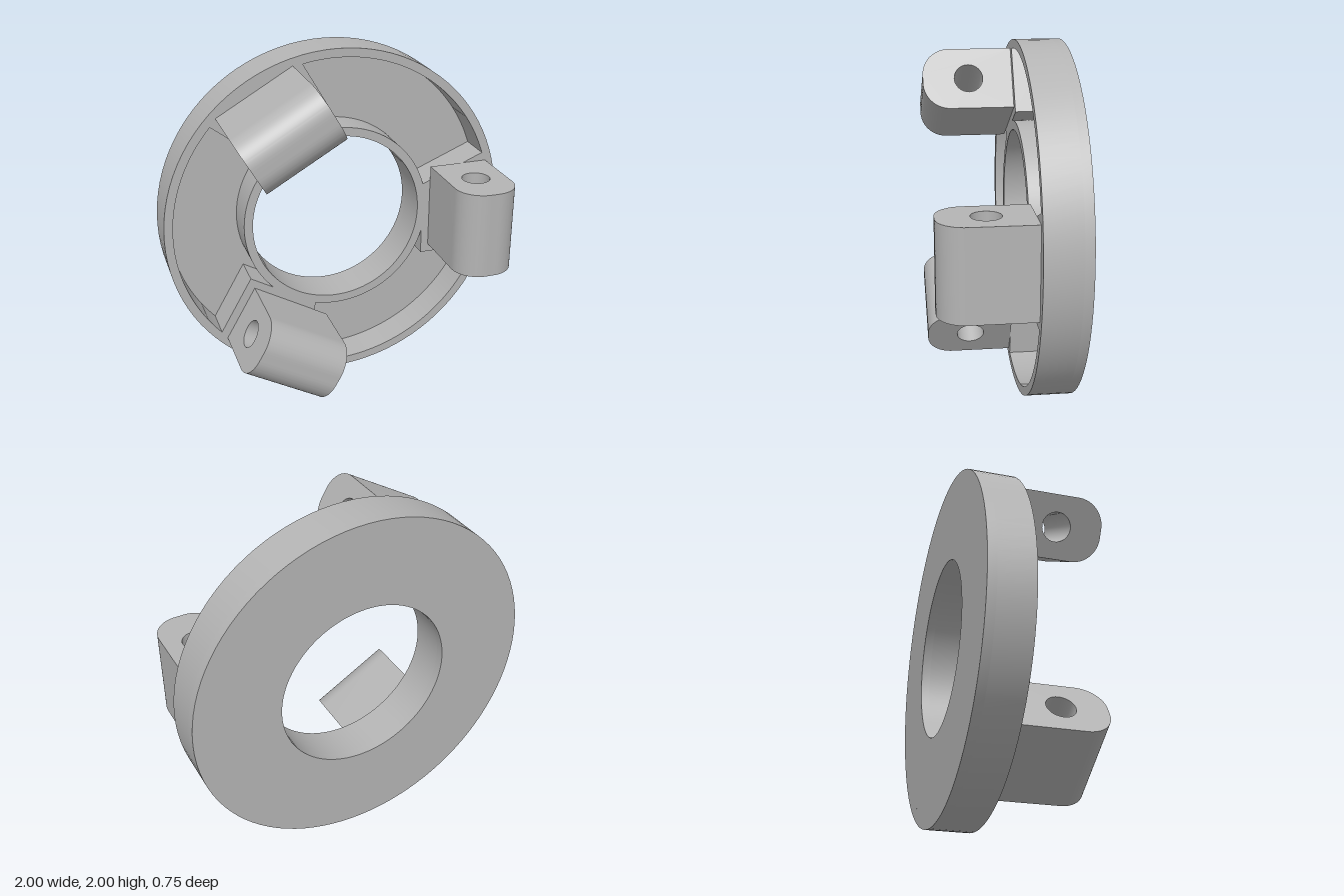
import * as THREE from 'three';
import { toCreasedNormals } from 'three/addons/utils/BufferGeometryUtils.js';

const TURN = (Math.PI * 2) / 3;
const BACK = -0.375, FLOOR = -0.325, FRONT = -0.125;

function extrude(shape, depth, curveSegments) {
  const geo = new THREE.ExtrudeGeometry(shape, { depth, curveSegments, bevelEnabled: false });
  return toCreasedNormals(geo, 0.6);
}

function circlePath(x, y, r) {
  return new THREE.Path().absarc(x, y, r, 0, Math.PI * 2, true);
}

function ringShape() {
  const shape = new THREE.Shape().absarc(0, 0, 1, 0, Math.PI * 2, false);
  shape.holes.push(circlePath(0, 0, 0.5));
  return shape;
}

// Curved pocket between two neighbouring mounting pads
function pocketPath(start) {
  const padX = 0.53, padY = 0.3, outer = 0.95, inner = 0.55;
  const a = Math.asin(padY / outer), b = Math.acos(padX / inner);
  const at = (x, y, t) => [x * Math.cos(t) - y * Math.sin(t), x * Math.sin(t) + y * Math.cos(t)];
  const end = start + TURN;
  const path = new THREE.Path();
  path.moveTo(...at(padX, padY, start));
  path.absarc(0, 0, outer, start + a, end - a, false);
  path.lineTo(...at(padX, -padY, end));
  path.absarc(0, 0, inner, end - b, start + b, true);
  path.closePath();
  return path;
}

// Lug profile: rounded outer corners and a pin hole
function lugShape() {
  const x0 = 0.575, x1 = 0.925, top = 0.375, r = 0.15;
  const shape = new THREE.Shape();
  shape.moveTo(x0, FRONT);
  shape.lineTo(x1, FRONT);
  shape.lineTo(x1, top - r);
  shape.absarc(x1 - r, top - r, r, 0, Math.PI / 2, false);
  shape.lineTo(x0 + r, top);
  shape.absarc(x0 + r, top - r, r, Math.PI / 2, Math.PI, false);
  shape.closePath();
  shape.holes.push(circlePath(0.75, 0.12, 0.08));
  return shape;
}

export function createModel() {
  const model = new THREE.Group();
  const grey = new THREE.MeshStandardMaterial({ color: 0xb4b4b4 });
  grey.name = 'grey';

  const body = new THREE.Group();
  body.name = 'body';
  body.position.y = 1;
  model.add(body);

  const add = (geo, name) => {
    const mesh = new THREE.Mesh(geo, grey);
    mesh.name = name;
    body.add(mesh);
    return mesh;
  };

  // Solid back plate
  add(extrude(ringShape(), FLOOR - BACK, 48), 'backPlate').position.z = BACK;

  // Rims and mounting pads around three pockets
  const frame = ringShape();
  for (let i = 0; i < 3; i++) frame.holes.push(pocketPath(i * TURN));
  add(extrude(frame, FRONT - FLOOR, 48), 'rimAndPads').position.z = FLOOR;

  // Three lugs around the ring
  const lugGeo = extrude(lugShape(), 0.5, 16);
  lugGeo.translate(0, 0, -0.25);
  lugGeo.rotateX(Math.PI / 2);
  for (let i = 0; i < 3; i++) add(lugGeo, 'lug' + (i + 1)).rotation.z = i * TURN;

  return model;
}
